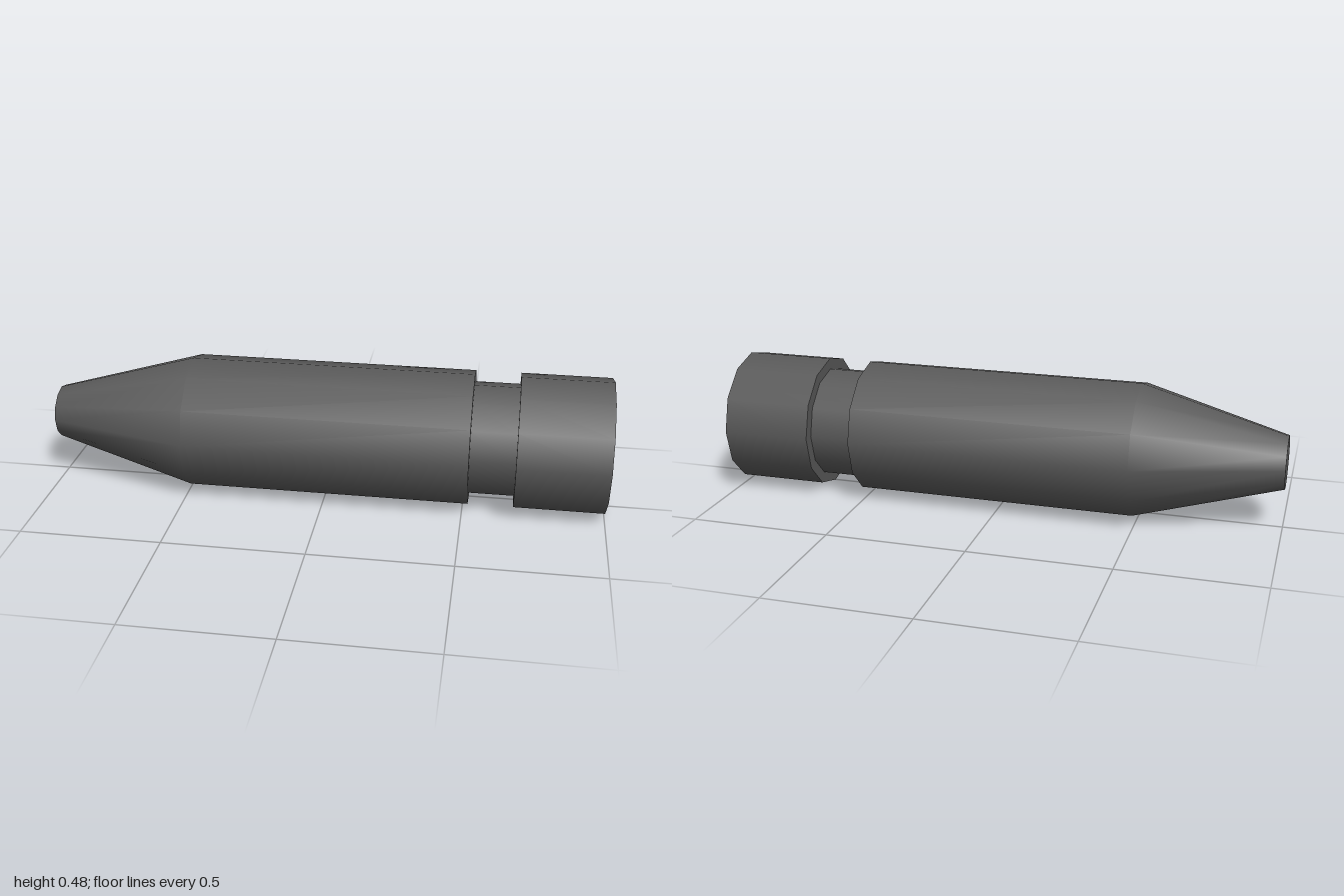
import * as THREE from 'three';

const SIDES = 12;
const RADIUS = 0.24;

export function createModel() {
  const model = new THREE.Group();
  const material = new THREE.MeshStandardMaterial({ color: 0x5a5a5a });

  // Lays a geometry built around y along the x axis, resting on the ground
  const add = (name, geometry, x = 0) => {
    geometry.rotateZ(-Math.PI / 2);
    geometry.translate(x, RADIUS, 0);
    const mesh = new THREE.Mesh(geometry, material);
    mesh.name = name;
    model.add(mesh);
  };

  // Flat end disc; direction 1 faces +x, -1 faces -x
  const addCap = (name, radius, x, direction) => {
    const disc = new THREE.CircleGeometry(radius, SIDES);
    disc.rotateX(-direction * Math.PI / 2);
    add(name, disc, x);
  };

  // Tapered nose running smoothly into the straight body
  const profile = [[0.095, -1], [RADIUS, -0.49], [RADIUS, 0.52]];
  add('taperedBody', new THREE.LatheGeometry(
    profile.map(([r, x]) => new THREE.Vector2(r, x)), SIDES));
  addCap('noseTip', 0.095, -1, -1);
  addCap('bodyShoulder', RADIUS, 0.52, 1);

  // Recessed neck between body and base
  add('neckGroove', new THREE.CylinderGeometry(0.2, 0.2, 0.16, SIDES, 1, true), 0.6);

  // Base collar, closed at both ends
  add('baseCollar', new THREE.CylinderGeometry(RADIUS, RADIUS, 0.32, SIDES), 0.84);

  return model;
}
